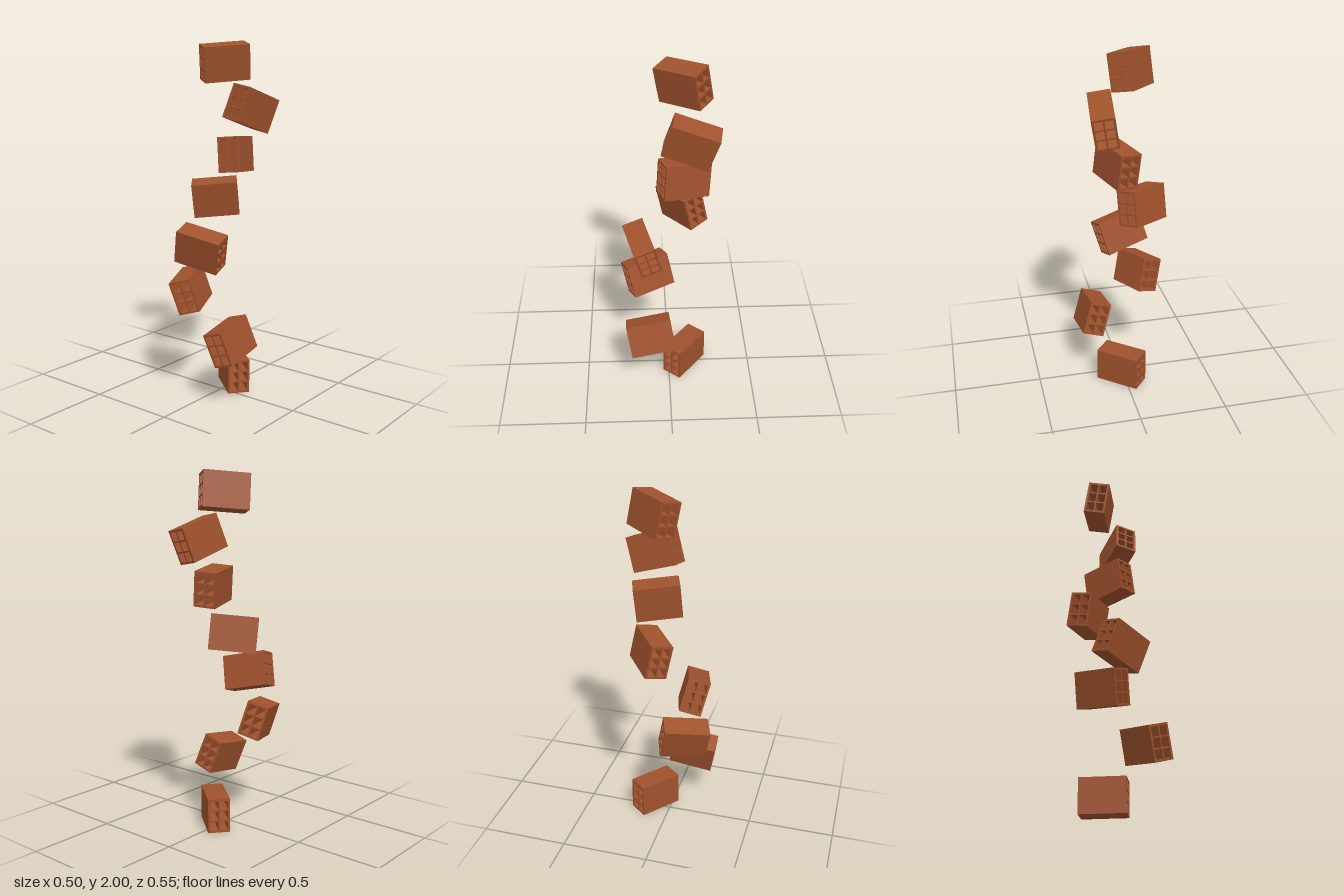
import * as THREE from 'three';

const WIDTH = 0.125, HEIGHT = 0.196, LENGTH = 0.258;
const OUTER = 0.012, INNER = 0.009; // wall thicknesses
const COLS = 2, ROWS = 3;

// Hollow brick: a rectangle pierced lengthwise by a grid of cells
function brickGeometry() {
  const rect = (path, x, y, w, h) => {
    path.moveTo(x, y);
    path.lineTo(x + w, y);
    path.lineTo(x + w, y + h);
    path.lineTo(x, y + h);
    path.closePath();
    return path;
  };
  const shape = rect(new THREE.Shape(), -WIDTH / 2, -HEIGHT / 2, WIDTH, HEIGHT);
  const cellW = (WIDTH - 2 * OUTER - (COLS - 1) * INNER) / COLS;
  const cellH = (HEIGHT - 2 * OUTER - (ROWS - 1) * INNER) / ROWS;
  for (let c = 0; c < COLS; c++) {
    for (let r = 0; r < ROWS; r++) {
      const x = -WIDTH / 2 + OUTER + c * (cellW + INNER);
      const y = -HEIGHT / 2 + OUTER + r * (cellH + INNER);
      shape.holes.push(rect(new THREE.Path(), x, y, cellW, cellH));
    }
  }
  const geometry = new THREE.ExtrudeGeometry(shape, { depth: LENGTH, bevelEnabled: false });
  geometry.translate(0, 0, -LENGTH / 2);
  return geometry;
}

// Each brick from the bottom up: centre, direction of its length, direction of its height
const BRICKS = [
  { at: [0.019, 0.098, -0.096], along: [0.201, 0, 0.165], up: [0, 1, 0] },
  { at: [0.154, 0.358, 0.111], along: [-0.016, 0.042, -0.254], up: [-0.058, 0.185, 0.035] },
  { at: [-0.125, 0.612, 0.12], along: [-0.099, 0.032, -0.236], up: [-0.042, 0.185, 0.042] },
  { at: [-0.024, 0.869, 0.151], along: [0.245, -0.055, -0.068], up: [0.048, 0.18, 0.042] },
  { at: [-0.101, 1.123, -0.077], along: [0.207, 0.022, -0.154], up: [0.013, 0.187, 0.035] },
  { at: [0.042, 1.377, -0.08], along: [-0.085, -0.024, -0.243], up: [-0.021, 0.19, -0.013] },
  { at: [0.12, 1.632, -0.114], along: [0.027, -0.08, -0.243], up: [0.037, 0.178, -0.06] },
  { at: [-0.034, 1.885, -0.076], along: [0.16, 0.02, -0.205], up: [0.015, 0.186, 0.035] },
];

export function createModel() {
  const group = new THREE.Group();
  group.name = 'fallingBricks';
  const clay = new THREE.MeshStandardMaterial({ color: 0xa0522d });
  clay.name = 'fired clay';
  const geometry = brickGeometry();

  BRICKS.forEach(({ at, along, up }, i) => {
    const z = new THREE.Vector3(...along).normalize();
    const x = new THREE.Vector3(...up).cross(z).normalize();
    const y = z.clone().cross(x);
    const brick = new THREE.Mesh(geometry, clay);
    brick.name = `hollowBrick${i + 1}`;
    brick.quaternion.setFromRotationMatrix(new THREE.Matrix4().makeBasis(x, y, z));
    brick.position.set(...at);
    group.add(brick);
  });
  return group;
}
